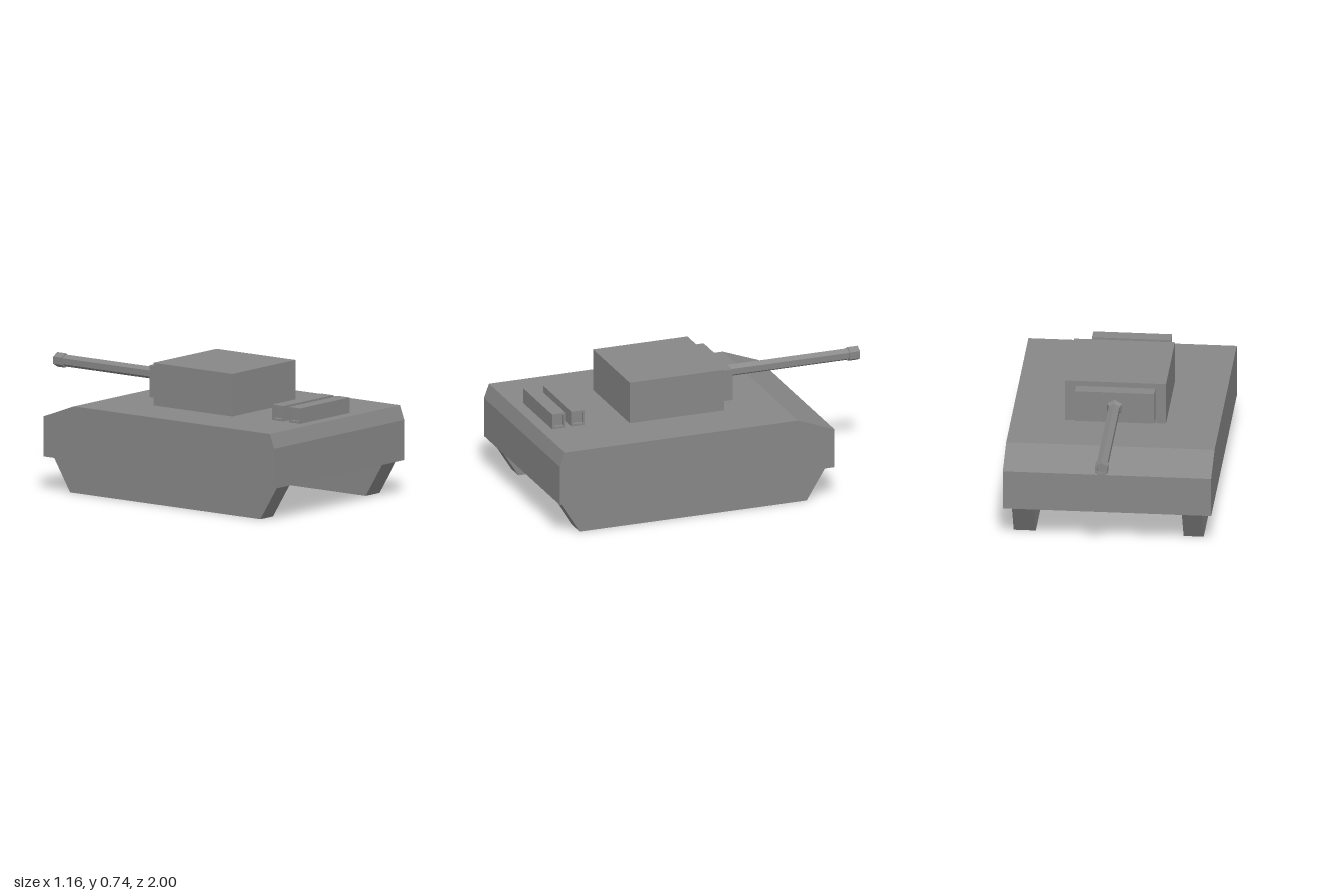
import * as THREE from 'three';

const material = new THREE.MeshStandardMaterial({ color: 0x878787, flatShading: true });

function add(parent, name, geometry, x = 0, y = 0, z = 0) {
  const mesh = new THREE.Mesh(geometry, material);
  mesh.name = name;
  mesh.position.set(x, y, z);
  parent.add(mesh);
  return mesh;
}

// Extrudes a side outline given as [z, y] pairs from x0 to x1.
function sideExtrude(points, x0, x1, hole) {
  const toShape = (pts, Type) => new Type(pts.map(([z, y]) => new THREE.Vector2(-z, y)));
  const shape = toShape(points, THREE.Shape);
  if (hole) shape.holes.push(toShape([...hole].reverse(), THREE.Path));
  const geometry = new THREE.ExtrudeGeometry(shape, { depth: x1 - x0, bevelEnabled: false });
  return geometry.rotateY(Math.PI / 2).translate(x0, 0, 0);
}

const rect = (z0, z1, y0, y1) => [[z0, y0], [z1, y0], [z1, y1], [z0, y1]];

// Box from its minimum and maximum corners.
function box(parent, name, [x0, y0, z0], [x1, y1, z1]) {
  return add(parent, name, new THREE.BoxGeometry(x1 - x0, y1 - y0, z1 - z0),
    (x0 + x1) / 2, (y0 + y1) / 2, (z0 + z1) / 2);
}

// Six-sided turned part pointing to -z, from [radius, distance] pairs.
function hexTurned(parent, name, profile) {
  const points = profile.map(([r, d]) => new THREE.Vector2(r, d));
  const geometry = new THREE.LatheGeometry(points, 6).rotateX(-Math.PI / 2).toNonIndexed();
  geometry.computeVertexNormals();
  return add(parent, name, geometry, -0.001, 0.619, 0);
}

export function createModel() {
  const model = new THREE.Group();
  model.name = 'tank';

  // Hull with sloped plates at both ends
  add(model, 'hull', sideExtrude(
    [[1, 0.194], [1, 0.42], [0.97, 0.5], [-0.42, 0.5], [-0.635, 0.42], [-0.635, 0.194]],
    -0.58, 0.58));

  // Tracks
  const track = [[0.98, 0.194], [0.86, 0], [-0.49, 0], [-0.61, 0.194]];
  add(model, 'rightTrack', sideExtrude(track, -0.526, -0.414));
  add(model, 'leftTrack', sideExtrude(track, 0.409, 0.532));

  // Turret and gun, with a recessed muzzle
  const turret = new THREE.Group();
  turret.name = 'turret';
  model.add(turret);
  box(turret, 'turretBody', [-0.281, 0.5, -0.095], [0.281, 0.74, 0.465]);
  box(turret, 'gunMantlet', [-0.222, 0.53, -0.168], [0.22, 0.71, -0.095]);
  hexTurned(turret, 'barrel', [[0.048, 0.168], [0.034, 0.19], [0.034, 0.945]]);
  hexTurned(turret, 'muzzle',
    [[0, 0.94], [0.041, 0.94], [0.041, 1], [0.028, 1], [0.028, 0.98], [0, 0.98]]);

  // Rear deck boxes: square sleeves with recessed ends
  for (const z of [0.705, 0.823]) {
    const deckBox = new THREE.Group();
    deckBox.name = 'deckBox';
    model.add(deckBox);
    add(deckBox, 'deckBoxSleeve', sideExtrude(
      rect(z, z + 0.08, 0.5, 0.587), -0.227, 0.213,
      rect(z + 0.012, z + 0.068, 0.512, 0.575)));
    box(deckBox, 'deckBoxCore', [-0.207, 0.512, z + 0.012], [0.193, 0.575, z + 0.068]);
  }
  return model;
}
